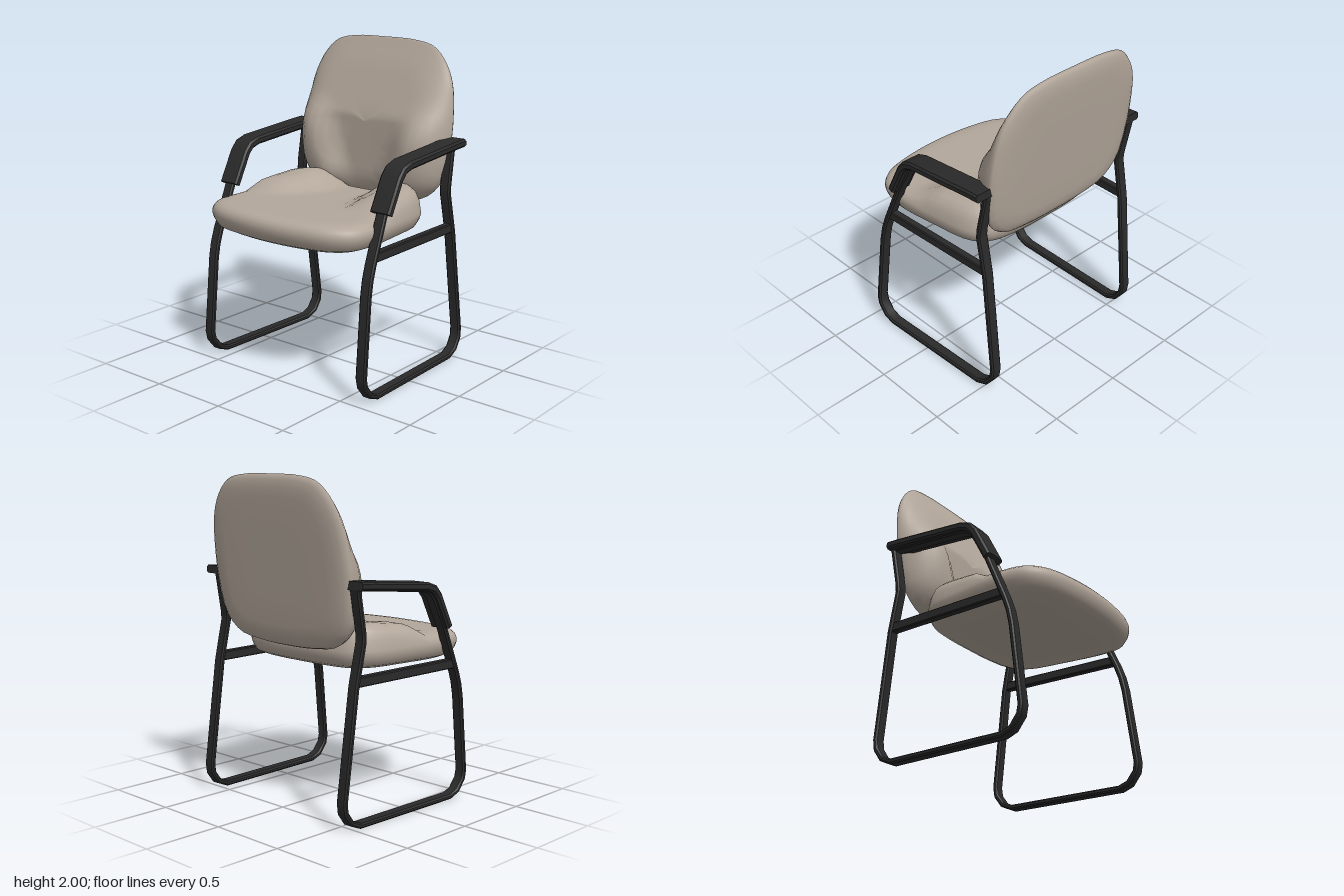
import * as THREE from 'three';
import { toCreasedNormals } from 'three/addons/utils/BufferGeometryUtils.js';

const fabric = new THREE.MeshStandardMaterial({ color: 0xb3a79b });
fabric.name = 'taupe fabric';
const black = new THREE.MeshStandardMaterial({ color: 0x2a2a2a });
black.name = 'black frame';

const { lerp, smoothstep } = THREE.MathUtils;

// Skin a list of closed rings of [x, y, z] points
function loft(rings) {
  const n = rings[0].length, index = [];
  for (let i = 0; i < rings.length - 1; i++) {
    for (let j = 0; j < n; j++) {
      const k = (j + 1) % n;
      const a = i * n + j, b = i * n + k, c = b + n, d = a + n;
      index.push(a, d, c, a, c, b);
    }
  }
  const g = new THREE.BufferGeometry();
  g.setAttribute('position', new THREE.Float32BufferAttribute(rings.flat(2), 3));
  g.setIndex(index);
  g.computeVertexNormals();
  return g;
}

// Smooth closed outline, mirrored from its +x half
function outline(half, count) {
  const mirrored = half.slice(1, -1).reverse().map(([u, v]) => [-u, v]);
  const pts = [...half, ...mirrored].map(([u, v]) => new THREE.Vector3(u, v, 0));
  return new THREE.CatmullRomCurve3(pts, true).getPoints(count).slice(0, count);
}

// Sweep a bevelled bar along a [z, y] path; xAt gives the bar's centre in x
function sweep(path, thick, width, bevel, xAt) {
  const h = thick / 2, w = width / 2;
  const section = [[w, h - bevel], [w, bevel - h], [w - bevel, -h], [bevel - w, -h],
    [-w, bevel - h], [-w, h - bevel], [bevel - w, h], [w - bevel, h]];
  const normal = (p, q) => new THREE.Vector2(p[1] - q[1], q[0] - p[0]).normalize();
  const rings = path.map((p, i) => {
    const n1 = normal(path[Math.max(i - 1, 0)], path[Math.max(i, 1)]);
    const last = path.length - 1;
    const n2 = normal(path[Math.min(i, last - 1)], path[Math.min(i + 1, last)]);
    const m = n1.clone().add(n2).divideScalar(1 + n1.dot(n2));
    return section.map(([sx, sn]) => [xAt(p[1], p[0]) + sx, p[1] + m.y * sn, p[0] + m.x * sn]);
  });
  // Close both ends
  const cap = ([z, y]) => section.map(() => [xAt(y, z), y, z]);
  rings.unshift(cap(path[0]));
  rings.push(cap(path[path.length - 1]));
  return toCreasedNormals(loft(rings), 0.6);
}

function seatGeometry() {
  const edge = outline([[0, -0.405], [0.22, -0.4], [0.41, -0.365], [0.51, -0.27], [0.56, 0],
    [0.585, 0.33], [0.55, 0.46], [0.45, 0.54], [0.28, 0.585], [0, 0.608]], 56);
  // Padded top with a raised bolster on either side towards the rear
  const top = (x, z) => {
    const ax = Math.abs(x);
    const inner = 0.11 + Math.max(0, z + 0.15) * 0.4;
    const rise = 0.075 + 0.025 * smoothstep(-z, 0, 0.27);
    return 1.048 + rise * smoothstep(ax, inner, inner + 0.19) * smoothstep(-z, -0.19, -0.02);
  };
  // [scale, fixed height] below the rim, [scale, height, blend to top] above it
  const layers = [[0, 0.872], [0.5, 0.872], [0.87, 0.88], [0.95, 0.9], [0.985, 0.935], [1, 0.965],
    [1, 0.99], [0.985, 0.99, 0.4], [0.95, 0.99, 0.72], [0.89, 0.99, 0.92], [0.8, 0.99, 1],
    [0.7, 0.99, 1], [0.6, 0.99, 1], [0.5, 0.99, 1], [0.4, 0.99, 1], [0.3, 0.99, 1],
    [0.15, 0.99, 1], [0, 0.99, 1]];
  const zMid = 0.1;
  return loft(layers.map(([s, y, t = 0]) => edge.map((p) => {
    const x = p.x * s, z = zMid + (p.y - zMid) * s;
    return [x, lerp(y, top(x, z), t), z];
  })));
}

function backrestGeometry() {
  const edge = outline([[0, 0.985], [0.25, 0.995], [0.42, 1.03], [0.53, 1.14], [0.57, 1.38],
    [0.568, 1.57], [0.54, 1.75], [0.48, 1.87], [0.385, 1.96], [0.25, 1.993], [0, 2]], 56);
  const rim = (y) => -0.44 - (y - 1) * 0.135;
  const rear = (y) => -0.5 - (y - 1.02) * 0.118;
  // Front face leans back above, with side bolsters around the lower back
  const front = (x, y) => {
    const inner = 0.1 + Math.max(0, y - 1.15) * 0.35;
    const bolster = smoothstep(Math.abs(x), inner, inner + 0.19) * (1 - smoothstep(y, 1.36, 1.64));
    return -0.36 - Math.max(0, y - 1.52) * 0.42 + 0.085 * bolster;
  };
  // [scale, depth]: positive towards the front face, negative towards the rear
  const layers = [[0, 1], [0.15, 1], [0.3, 1], [0.4, 1], [0.5, 1], [0.6, 1], [0.7, 1], [0.8, 0.9],
    [0.88, 0.72], [0.94, 0.5], [0.98, 0.25], [1, 0], [0.985, -0.35], [0.94, -0.65],
    [0.86, -0.88], [0.74, -1], [0.4, -1], [0, -1]];
  const yMid = 1.48;
  return loft(layers.map(([s, t]) => edge.map((p) => {
    const x = p.x * s, y = yMid + (p.y - yMid) * s;
    return [x, y, lerp(rim(y), t > 0 ? front(x, y) : rear(y), Math.abs(t))];
  })));
}

// Side frame: one bent bar from the arm, down the front, along the floor and up the rear
const framePath = [[-0.49, 1.385], [0.05, 1.335], [0.105, 1.315], [0.14, 1.275], [0.24, 1.09],
  [0.36, 0.81], [0.388, 0.73], [0.407, 0.64], [0.463, 0.16], [0.452, 0.105], [0.4, 0.04],
  [0.335, 0.016], [-0.45, 0.016], [-0.52, 0.046], [-0.566, 0.11], [-0.574, 0.17],
  [-0.495, 0.83], [-0.443, 1.08], [-0.446, 1.13], [-0.495, 1.39]];
const padPath = [[-0.51, 1.4], [-0.42, 1.394], [0.05, 1.352], [0.115, 1.33], [0.155, 1.285], [0.254, 1.095]];
const railPath = [[0.34, 0.855], [-0.495, 0.855]];

export function createModel() {
  const chair = new THREE.Group();
  chair.name = 'armchair';
  const add = (parent, name, geometry, material) => {
    const mesh = new THREE.Mesh(geometry, material);
    mesh.name = name;
    parent.add(mesh);
  };

  add(chair, 'seat', seatGeometry(), fabric);
  add(chair, 'backrest', backrestGeometry(), fabric);

  // The two side frames stand slightly skewed
  const sides = [
    ['left', 1, (y, z) => 0.617 + 0.033 * z - 0.027 * y],
    ['right', -1, (y, z) => -0.588 - 0.022 * z - 0.016 * y],
  ];
  for (const [name, sign, xAt] of sides) {
    const side = new THREE.Group();
    side.name = name + 'Side';
    add(side, name + 'Frame', sweep(framePath, 0.032, 0.072, 0.009, xAt), black);
    add(side, name + 'ArmPad', sweep(padPath, 0.05, 0.142, 0.012, () => sign * 0.6), black);
    add(side, name + 'SeatRail', sweep(railPath, 0.058, 0.05, 0.006, xAt), black);
    chair.add(side);
  }
  return chair;
}
